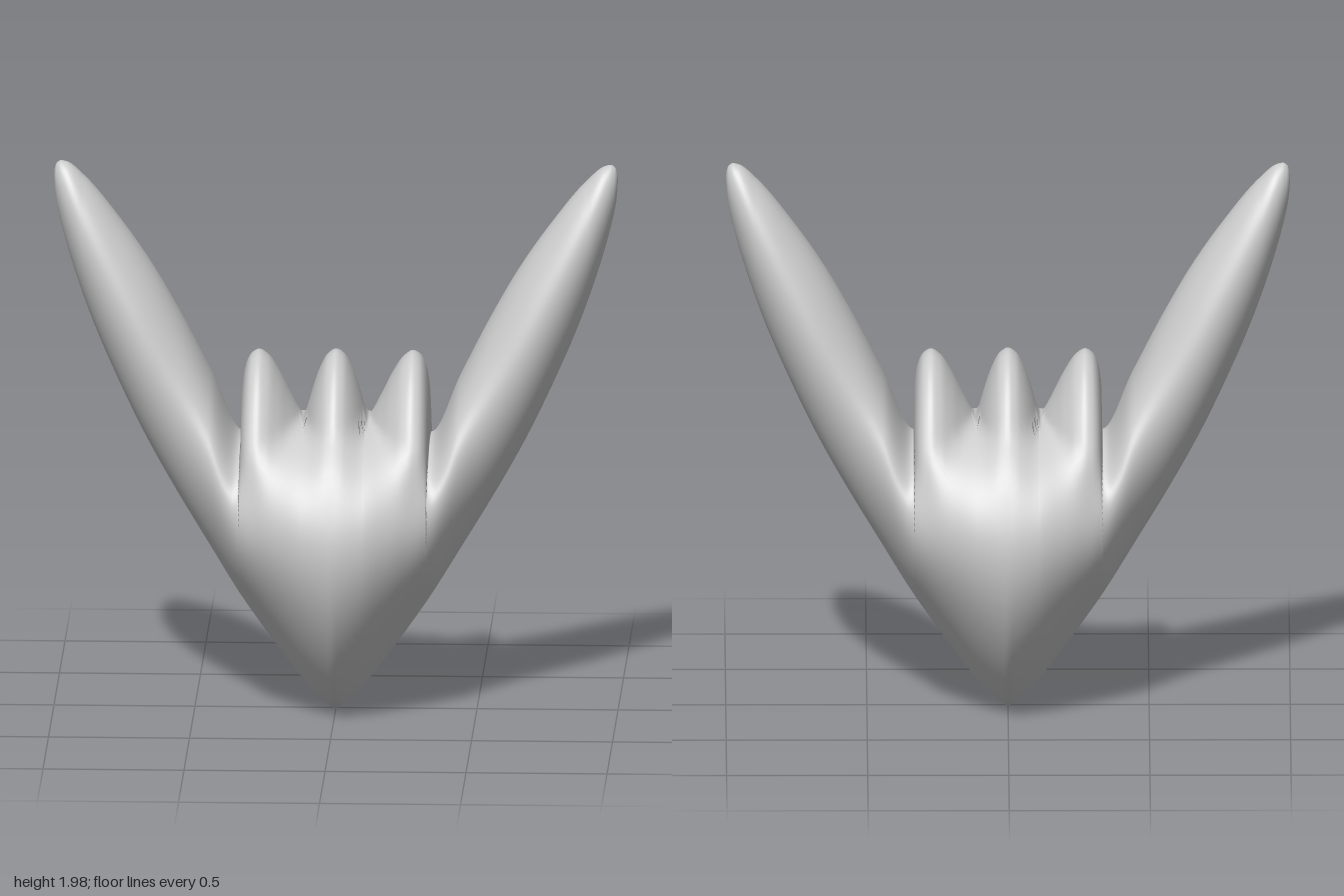
import * as THREE from 'three';

// Monotone cubic interpolation through [x, value] points
function profile(pts) {
  const n = pts.length;
  const slope = (i) => (pts[i + 1][1] - pts[i][1]) / (pts[i + 1][0] - pts[i][0]);
  const tangent = pts.map((p, i) => {
    if (i === 0) return 0;
    if (i === n - 1) return slope(n - 2);
    const a = slope(i - 1), b = slope(i);
    return a * b <= 0 ? 0 : (2 * a * b) / (a + b);
  });
  return (x) => {
    let i = 0;
    while (i < n - 2 && x > pts[i + 1][0]) i++;
    const w = pts[i + 1][0] - pts[i][0];
    const t = THREE.MathUtils.clamp((x - pts[i][0]) / w, 0, 1);
    const t2 = t * t, t3 = t2 * t;
    return (2 * t3 - 3 * t2 + 1) * pts[i][1] + (t3 - 2 * t2 + t) * w * tangent[i]
      + (3 * t2 - 2 * t3) * pts[i + 1][1] + (t3 - t2) * w * tangent[i + 1];
  };
}

const GAP = 0.334; // where the outer knuckle meets the raised finger

// Lower edge: palm heel to outer side of the raised finger
const lower = profile([[0, 0], [0.03, 0.018], [0.08, 0.065], [0.19, 0.205], [0.33, 0.405],
  [0.45, 0.6], [0.57, 0.8], [0.68, 1], [0.775, 1.2], [0.86, 1.4], [0.93, 1.6], [0.98, 1.78],
  [0.995, 1.86], [1, 1.93]]);
// Upper edge of palm and raised finger, without the knuckles
const upper = profile([[0, 1.08], [0.113, 1.065], [0.24, 1.04], [GAP, 0.995], [0.44, 1.21],
  [0.54, 1.41], [0.647, 1.6], [0.76, 1.765], [0.89, 1.925], [0.955, 1.978], [0.975, 1.982],
  [0.99, 1.973], [0.997, 1.955], [1, 1.93]]);
// Upper edge of the folded fingers
const knuckles = profile([[0, 1.303], [0.03, 1.285], [0.055, 1.24], [0.08, 1.17], [0.1, 1.1],
  [0.113, 1.06], [0.125, 1.075], [0.16, 1.14], [0.2, 1.22], [0.24, 1.28], [0.273, 1.3],
  [0.3, 1.285], [0.318, 1.25], [0.33, 1.18], [GAP, 0.995]]);
// Greatest half depth in z
const depth = profile([[0, 0.48], [0.1, 0.467], [0.2, 0.432], [0.3, 0.38], [0.4, 0.31],
  [0.5, 0.248], [0.55, 0.23], [0.6, 0.218], [0.7, 0.2], [0.8, 0.172], [0.9, 0.127],
  [0.95, 0.09], [0.985, 0.048], [0.996, 0.025], [1, 0]]);

// Half depth at a point of the front outline
function halfDepth(x, y, lo, hi) {
  const { clamp, lerp, smoothstep } = THREE.MathUtils;
  const top = upper(x);
  const blend = smoothstep(x, 0.1, 0.6);
  const s = clamp((y - lo) / Math.max(top - lo, 1e-6), 0, 1);
  const arch = Math.max(0, Math.sin(Math.PI * Math.pow(s, lerp(1.35, 1, blend))));
  const palm = depth(x) * Math.pow(arch, lerp(0.45, 0.5, blend));
  const knuckle = 0.38 * Math.sqrt(Math.max(0, hi - y) / 0.5)
    * smoothstep(y, 0.55, 1) * (1 - smoothstep(x, GAP, 0.45));
  return Math.pow(palm ** 6 + knuckle ** 6, 1 / 6);
}

export function createModel() {
  const group = new THREE.Group();
  group.name = 'handSign';

  // Stations across x, closer together at the fingertips and the finger gap
  const half = [];
  for (let i = 0; i <= 200; i++) half.push(Math.sin((i / 200) * Math.PI / 2));
  for (const d of [-0.004, -0.002, 0, 0.002]) half.push(GAP + d);
  half.sort((a, b) => a - b);
  const stations = [...half.slice(1).reverse().map((x) => -x), ...half];

  // Closed cross-section loop at every station
  const ring = 96;
  const positions = [], indices = [];
  stations.forEach((sx, i) => {
    const x = Math.abs(sx);
    const lo = lower(x);
    const hi = Math.max(lo, x < GAP ? knuckles(x) : upper(x));
    for (let j = 0; j < ring; j++) {
      const a = (j / ring) * Math.PI * 2;
      const y = lo + (hi - lo) * (1 - Math.cos(a)) / 2;
      const side = j % (ring / 2) === 0 ? 0 : Math.sign(Math.sin(a));
      positions.push(sx, y, side * halfDepth(x, y, lo, hi));
      if (i < stations.length - 1) {
        const k = (j + 1) % ring, p = i * ring, q = p + ring;
        indices.push(p + j, q + j, p + k, q + j, q + k, p + k);
      }
    }
  });

  const geometry = new THREE.BufferGeometry();
  geometry.setAttribute('position', new THREE.Float32BufferAttribute(positions, 3));
  geometry.setIndex(indices);
  geometry.computeVertexNormals();
  const hand = new THREE.Mesh(geometry, new THREE.MeshStandardMaterial({ color: 0xcccccc }));
  hand.name = 'palmAndFingers';
  group.add(hand);
  return group;
}
